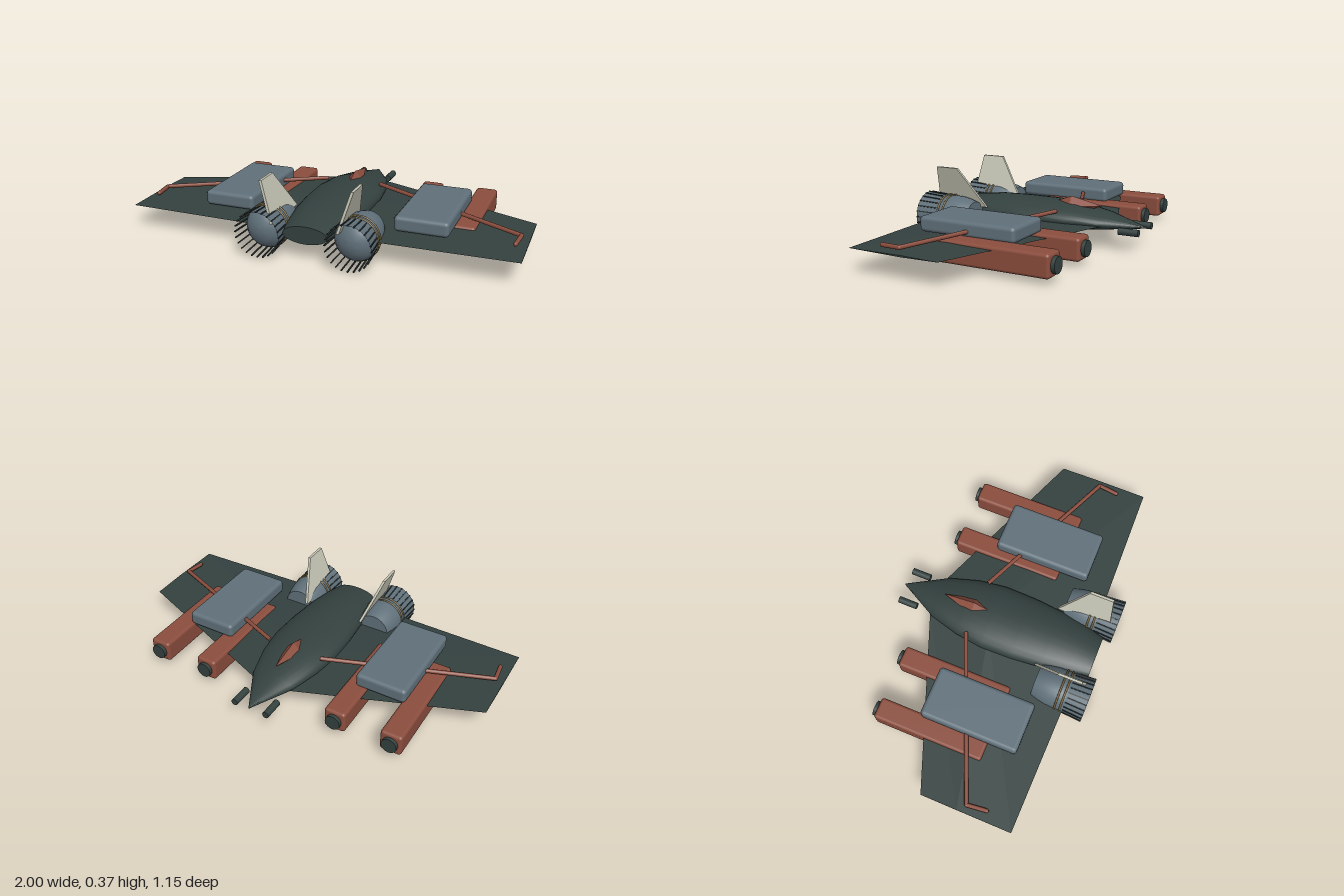
import * as THREE from 'three';
import { RoundedBoxGeometry } from 'three/addons/geometries/RoundedBoxGeometry.js';
import { toCreasedNormals } from 'three/addons/utils/BufferGeometryUtils.js';

const mat = (name, color, side = THREE.FrontSide) =>
  Object.assign(new THREE.MeshStandardMaterial({ color, side }), { name });

// Skin a list of equal-length rings, with flat end caps
function loft(rings, crease) {
  const n = rings[0].length, pos = rings.flat(2), idx = [];
  for (let i = 0; i < rings.length - 1; i++) {
    for (let j = 0; j < n; j++) {
      const a = i * n + j, b = i * n + (j + 1) % n;
      idx.push(a, b, b + n, a, b + n, a + n);
    }
  }
  const last = (rings.length - 1) * n;
  for (let j = 1; j < n - 1; j++) {
    idx.push(0, j + 1, j, last, last + j, last + j + 1);
  }
  const g = new THREE.BufferGeometry();
  g.setAttribute('position', new THREE.Float32BufferAttribute(pos, 3));
  g.setIndex(idx);
  return toCreasedNormals(g, crease);
}

export function createModel() {
  const hull = mat('dark green hull', 0x33413f);
  const red = mat('rust red', 0x8b4d3d);
  const grey = mat('blue grey', 0x60707a);
  const cream = mat('pale fin', 0xc6c6b6);
  const gold = mat('dull gold', 0x7d6a40);
  const dark = mat('dark gap', 0x28302f);

  const model = new THREE.Group();
  model.name = 'fighter';
  const add = (parent, name, geometry, material, x = 0, y = 0, z = 0) => {
    const mesh = new THREE.Mesh(geometry, material);
    mesh.name = name;
    mesh.position.set(x, y, z);
    parent.add(mesh);
    return mesh;
  };

  // Fuselage: z, half width, top, bottom
  const sections = [
    [-0.575, 0.003, 0.122, 0.114], [-0.36, 0.12, 0.173, 0.092], [-0.2, 0.165, 0.203, 0.077],
    [-0.05, 0.185, 0.214, 0.068], [0.12, 0.181, 0.215, 0.065], [0.28, 0.166, 0.212, 0.067],
    [0.42, 0.142, 0.198, 0.075], [0.53, 0.115, 0.178, 0.088],
  ];
  const rings = sections.map(([z, w, top, bottom]) => Array.from({ length: 24 }, (_, k) => {
    const a = k / 24 * Math.PI * 2;
    return [w * Math.cos(a), (top + bottom) / 2 + (top - bottom) / 2 * Math.sin(a), z];
  }));
  add(model, 'fuselage', loft(rings, 0.7), hull);

  // Canopy: a stretched diamond
  const canopy = new THREE.OctahedronGeometry(1);
  canopy.scale(0.046, 0.05, 0.17);
  add(model, 'canopy', canopy, red, 0, 0.19, -0.165).rotation.x = 0.08;

  const wingRing = (x, front, back, t) => {
    const mid = front + (back - front) * 0.4;
    return [[x, 0.125 + t, mid], [x, 0.125, back], [x, 0.125 - t, mid], [x, 0.125, front]];
  };

  function buildSide(sign) {
    const side = new THREE.Group();
    side.name = sign > 0 ? 'leftSide' : 'rightSide';
    side.scale.x = sign;
    model.add(side);

    add(side, 'wing', loft([wingRing(0.09, -0.385, 0.472, 0.012), wingRing(1, -0.03, 0.455, 0.004)], 0.01), hull);

    // Underwing pods with round muzzles
    for (const x of [0.381, 0.68]) {
      add(side, 'pod', new RoundedBoxGeometry(0.113, 0.114, 0.595, 3, 0.016), red, x, 0.086, -0.117);
      const muzzle = new THREE.CylinderGeometry(0.04, 0.04, 0.04, 20).rotateX(Math.PI / 2);
      add(side, 'muzzle', muzzle, hull, x, 0.086, -0.413);
    }

    // Equipment box on the wing, and the pipe running through it
    add(side, 'wingBox', new RoundedBoxGeometry(0.27, 0.077, 0.525, 3, 0.02), grey, 0.508, 0.173, 0.072);
    const path = new THREE.CurvePath();
    const points = [[0.15, 0.187, -0.147], [0.96, 0.15, 0.202], [0.948, 0.147, 0.305]]
      .map(p => new THREE.Vector3(...p));
    path.add(new THREE.LineCurve3(points[0], points[1]));
    path.add(new THREE.LineCurve3(points[1], points[2]));
    path.curves.forEach(c => add(side, 'pipe', new THREE.TubeGeometry(c, 1, 0.011, 8), red));
    add(side, 'pipeElbow', new THREE.SphereGeometry(0.011, 8, 6), red, ...points[1].toArray());
    add(side, 'pipeEnd', new THREE.SphereGeometry(0.011, 8, 6), red, ...points[2].toArray());

    // Nose gun
    const gun = new THREE.CylinderGeometry(0.018, 0.018, 0.105, 16).rotateX(Math.PI / 2);
    add(side, 'noseGun', gun, hull, 0.09, 0.108, -0.517);

    // Engine: body with a domed rear, bands and a ribbed open nozzle
    const engine = new THREE.Group();
    engine.name = 'engine';
    engine.position.set(0.232, 0.12, 0);
    side.add(engine);
    const profile = [[0, 0.285], [0.086, 0.285], [0.098, 0.325], [0.106, 0.37], [0.108, 0.41], [0.108, 0.46],
      [0.102, 0.475], [0.085, 0.497], [0.055, 0.515], [0.025, 0.524], [0, 0.526]].map(p => new THREE.Vector2(...p));
    const body = new THREE.LatheGeometry(profile, 32).rotateX(Math.PI / 2);
    add(engine, 'engineBody', toCreasedNormals(body, 0.7), grey);
    for (const z of [0.424, 0.452]) {
      add(engine, 'engineBand', new THREE.TorusGeometry(0.109, 0.005, 8, 32), gold, 0, 0, z);
    }
    const nozzle = new THREE.CylinderGeometry(0.115, 0.107, 0.115, 32, 1, true).rotateX(Math.PI / 2);
    add(engine, 'nozzle', nozzle, grey, 0, 0, 0.5175);
    for (let k = 0; k < 24; k++) {
      const a = k / 24 * Math.PI * 2;
      const rib = new THREE.BoxGeometry(0.006, 0.007, 0.108).rotateX(-0.07);
      rib.translate(0, 0.1115, 0.521).rotateZ(a);
      add(engine, 'nozzleRib', rib, dark);
    }

    // Tail fin leaning outwards
    const outline = [[0.25, 0.17], [0.54, 0.17], [0.515, 0.375], [0.39, 0.375]].map(p => new THREE.Vector2(...p));
    const fin = new THREE.ExtrudeGeometry(new THREE.Shape(outline), { depth: 0.014, bevelEnabled: false });
    fin.rotateY(-Math.PI / 2);
    const p = fin.attributes.position;
    for (let i = 0; i < p.count; i++) p.setX(i, p.getX(i) + 0.185 + (p.getY(i) - 0.2) * 0.31);
    fin.computeVertexNormals();
    add(side, 'tailFin', fin, cream);
  }
  buildSide(1);
  buildSide(-1);
  return model;
}
